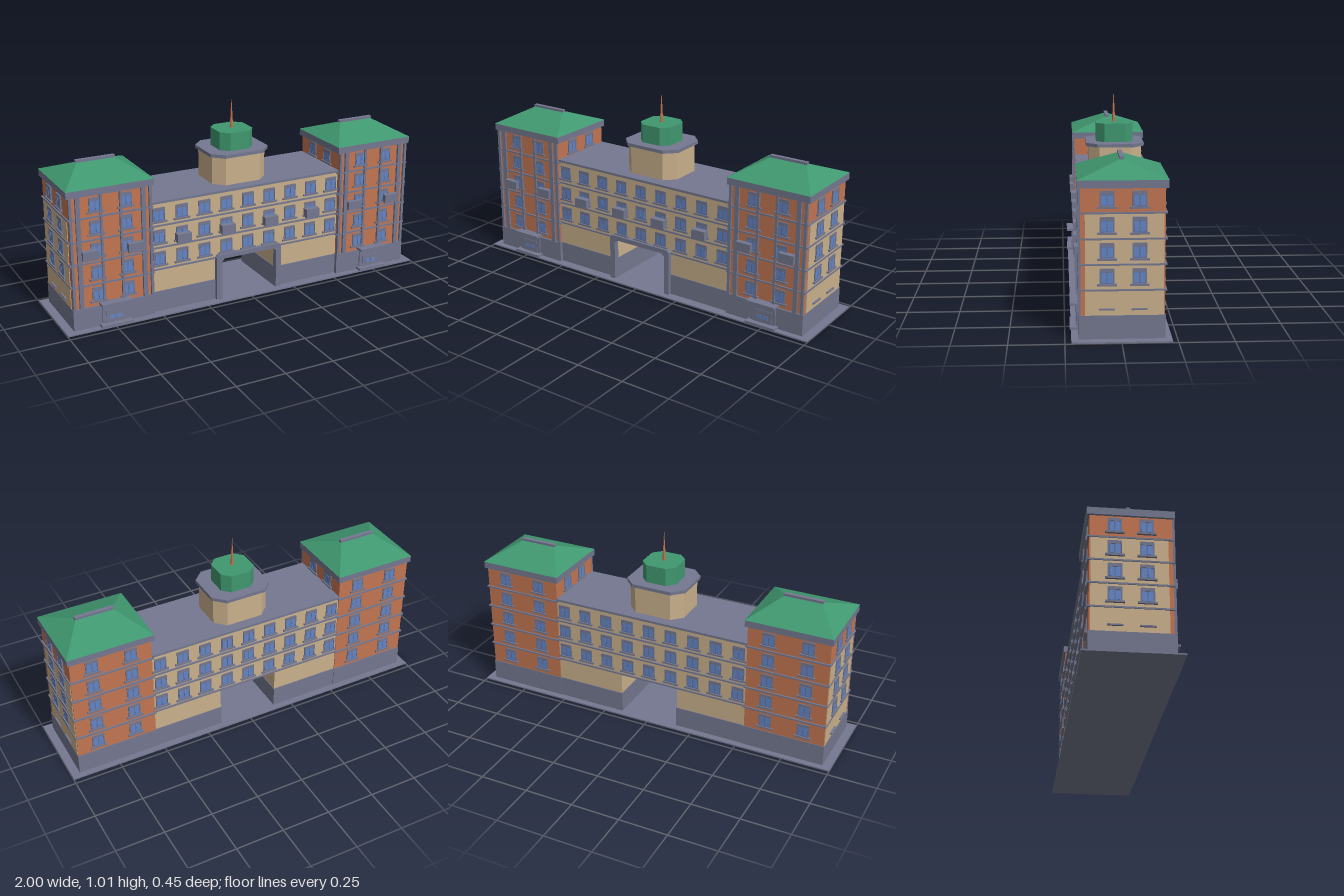
import * as THREE from 'three';
import { mergeGeometries } from 'three/addons/utils/BufferGeometryUtils.js';

const material = (name, color) => {
  const m = new THREE.MeshStandardMaterial({ color });
  m.name = name;
  return m;
};
const brick = material('brick', 0xc27552);
const plaster = material('plaster', 0xcab08c);
const stone = material('stone', 0x74788f);
const copper = material('green copper', 0x409870);
const glass = material('window glass', 0x6486c6);
const frame = material('window frame', 0x6272a0);

function box(x0, x1, y0, y1, z0, z1) {
  return new THREE.BoxGeometry(x1 - x0, y1 - y0, z1 - z0)
    .translate((x0 + x1) / 2, (y0 + y1) / 2, (z0 + z1) / 2);
}

function add(parent, name, mat, ...geos) {
  const mesh = new THREE.Mesh(geos.length > 1 ? mergeGeometries(geos) : geos[0], mat);
  mesh.name = name;
  parent.add(mesh);
  return mesh;
}

// Windows on one wall plane: each spot is [along the wall, sill height]
function windows(parent, name, spots, position, turn = 0) {
  const g = new THREE.Group();
  g.name = name;
  const frames = [], panes = [], trims = [];
  for (const [x, y] of spots) {
    frames.push(box(x - 0.03, x + 0.03, y, y + 0.058, -0.002, 0.003));
    for (const s of [-1, 1]) {
      panes.push(box(x + s * 0.014 - 0.011, x + s * 0.014 + 0.011, y + 0.008, y + 0.053, -0.002, 0.004));
    }
    trims.push(box(x - 0.03, x + 0.03, y + 0.056, y + 0.072, -0.002, 0.005));
    trims.push(box(x - 0.043, x + 0.043, y - 0.006, y + 0.003, -0.002, 0.01));
    for (const s of [-1, 1]) trims.push(box(x + s * 0.03 - 0.002, x + s * 0.03 + 0.002, y, y + 0.07, -0.002, 0.005));
  }
  add(g, 'frames', frame, ...frames);
  add(g, 'panes', glass, ...panes);
  add(g, 'sillsAndLintels', stone, ...trims);
  g.position.set(...position);
  g.rotation.y = turn;
  parent.add(g);
}

const grid = (xs, ys) => ys.flatMap((y) => xs.map((x) => [x, y]));

// Chamfered octagonal prism standing on y0
function octagon(hx, hz, c, y0, y1) {
  const pts = [[hx, hz - c], [hx - c, hz], [c - hx, hz], [-hx, hz - c],
    [-hx, c - hz], [c - hx, -hz], [hx - c, -hz], [hx, c - hz]];
  const shape = new THREE.Shape(pts.map((p) => new THREE.Vector2(...p)));
  return new THREE.ExtrudeGeometry(shape, { depth: y1 - y0, bevelEnabled: false })
    .rotateX(-Math.PI / 2).translate(0, y0, -0.014);
}

// Hip roof: a box whose top is drawn in to a short ridge
function hipRoof(w, d, h, ridge) {
  const geo = new THREE.BoxGeometry(w, h, d).toNonIndexed();
  const p = geo.attributes.position;
  for (let i = 0; i < p.count; i++) {
    if (p.getY(i) > 0) p.setXYZ(i, Math.sign(p.getX(i)) * ridge / 2, h / 2, Math.sign(p.getZ(i)) * 0.006);
  }
  geo.computeVertexNormals();
  return geo;
}

const floors = [0.256, 0.371, 0.486];
const bands = [0.23, 0.345, 0.46, 0.575];

function makeTower(side) {
  const g = new THREE.Group();
  g.name = side > 0 ? 'leftTower' : 'rightTower';
  const W = 0.21, F = 0.18, B = -0.192;

  add(g, 'plinth', stone, box(-W - 0.003, W + 0.003, 0, 0.115, B - 0.003, F + 0.01));
  add(g, 'walls', brick, box(-W, W, 0.115, 0.69, B, F));
  const out = side * W;
  add(g, 'sidePlaster', plaster, box(Math.min(out, out + side * 0.003), Math.max(out, out + side * 0.003), 0.115, 0.572, -0.186, 0.16));
  add(g, 'stringCourses', stone, ...bands.map((y) => box(-W - 0.007, W + 0.007, y - 0.004, y + 0.004, B - 0.008, F + 0.008)));
  add(g, 'cornice', stone, box(-W - 0.012, W + 0.012, 0.685, 0.72, B - 0.012, F + 0.012));
  add(g, 'roof', copper, hipRoof(0.446, 0.4, 0.073, 0.19)).position.set(0, 0.7565, -0.006);
  add(g, 'ridgeCap', stone, box(-0.1, 0.1, 0.788, 0.804, -0.016, 0.004));

  // Vertical strips on the front
  const strips = [];
  for (const s of [-1, 1]) {
    for (const [x, w] of [[0.166, 0.011], [0.203, 0.007], [0.05, 0.006]]) {
      strips.push(box(s * x - w, s * x + w, 0.115, 0.686, F - 0.002, F + 0.011));
    }
  }
  add(g, 'pilasters', stone, ...strips);

  // Balconies
  for (const s of [-1, 1]) {
    add(g, 'balcony', stone, box(s * 0.117 - 0.04, s * 0.117 + 0.04, 0.365, 0.412, F, 0.207));
  }

  // Entrance with canopy and step
  add(g, 'portal', stone, box(-0.068, 0.068, 0, 0.122, F, 0.197));
  add(g, 'canopy', stone, box(-0.078, 0.078, 0.12, 0.131, F, 0.227));
  add(g, 'step', stone, box(-0.082, 0.082, 0.008, 0.02, F, 0.227));
  add(g, 'door', stone, box(-0.05, 0.05, 0.015, 0.085, 0.19, 0.2));
  add(g, 'doorGlass', glass, ...[-1, 1].map((s) => box(s * 0.018 - 0.014, s * 0.018 + 0.014, 0.04, 0.058, 0.199, 0.202)));

  const rows = [0.141, ...floors, 0.601];
  windows(g, 'frontWindows', grid([-0.077, 0.077], rows), [0, 0, F]);
  windows(g, 'backWindows', grid([-0.1, 0.1], rows), [0, 0, B], Math.PI);
  const zs = [0.064, -0.079];
  const turn = side * Math.PI / 2;
  windows(g, 'sideWindows', grid(zs.map((z) => -side * z), [...floors, 0.601]), [side * (W + 0.003), 0, 0], turn);
  windows(g, 'innerWindows', grid(zs.map((z) => side * z), [0.605]), [-side * W, 0, 0], -turn);
  add(g, 'cellarSills', stone, ...zs.map((z) =>
    box(Math.min(out, out + side * 0.012), Math.max(out, out + side * 0.012), 0.14, 0.147, z - 0.035, z + 0.035)));

  g.position.x = side * 0.744;
  return g;
}

function makeWing() {
  const g = new THREE.Group();
  g.name = 'centralWing';
  const F = 0.168, B = -0.188, X = 0.535, P = 0.16;

  add(g, 'upperWalls', plaster, box(-X, X, 0.23, 0.586, B, F));
  for (const s of [-1, 1]) {
    const a = s > 0 ? P : -X, b = s > 0 ? X : -P;
    add(g, 'lowerWall', plaster, box(a, b, 0.115, 0.23, B, F));
    add(g, 'plinth', stone, box(s > 0 ? a - 0.003 : a, s > 0 ? b : b + 0.003, 0, 0.115, B - 0.004, F + 0.004));
  }
  add(g, 'flatRoof', stone, box(-X, X, 0.58, 0.592, B - 0.01, F + 0.009));
  add(g, 'stringCourses', stone, ...[0.23, 0.345, 0.46].flatMap((y) => [
    box(-X, X, y, y + 0.008, F - 0.002, F + 0.007),
    box(-X, X, y, y + 0.008, B - 0.007, B + 0.002)]));

  // Stone frame around the passage
  const arch = [[-0.187, 0], [-0.157, 0], [-0.157, 0.215], [-0.142, 0.228], [0.142, 0.228], [0.157, 0.215],
    [0.157, 0], [0.187, 0], [0.187, 0.238], [0.175, 0.252], [-0.175, 0.252], [-0.187, 0.238]];
  const shape = new THREE.Shape(arch.map((p) => new THREE.Vector2(...p)));
  add(g, 'passageFrame', stone, new THREE.ExtrudeGeometry(shape, { depth: 0.03, bevelEnabled: false }).translate(0, 0, F - 0.008));

  const xs = Array.from({ length: 9 }, (_, i) => (i - 4) * 0.123);
  windows(g, 'frontWindows', grid(xs, floors), [0, 0, F]);
  windows(g, 'backWindows', grid(xs, floors), [0, 0, B], Math.PI);
  for (const i of [1, 3, 5, 7]) {
    add(g, 'balcony', stone, box(xs[i] - 0.038, xs[i] + 0.038, 0.366, 0.412, F, 0.204));
  }
  return g;
}

function makeCupola() {
  const g = new THREE.Group();
  g.name = 'cupola';
  add(g, 'drum', plaster, octagon(0.15, 0.132, 0.053, 0.585, 0.74));
  add(g, 'drumCornice', stone, octagon(0.163, 0.146, 0.057, 0.738, 0.755));
  add(g, 'lantern', copper, octagon(0.093, 0.093, 0.04, 0.755, 0.849));
  add(g, 'spire', brick, new THREE.ConeGeometry(0.009, 0.163, 6).toNonIndexed()).position.set(0, 0.93, -0.012);
  g.getObjectByName('spire').geometry.computeVertexNormals();
  return g;
}

export function createModel() {
  const model = new THREE.Group();
  model.name = 'towerBuilding';
  add(model, 'groundSlab', stone, box(-1, 1, 0, 0.007, -0.225, 0.222));
  model.add(makeTower(1), makeTower(-1), makeWing(), makeCupola());
  return model;
}
